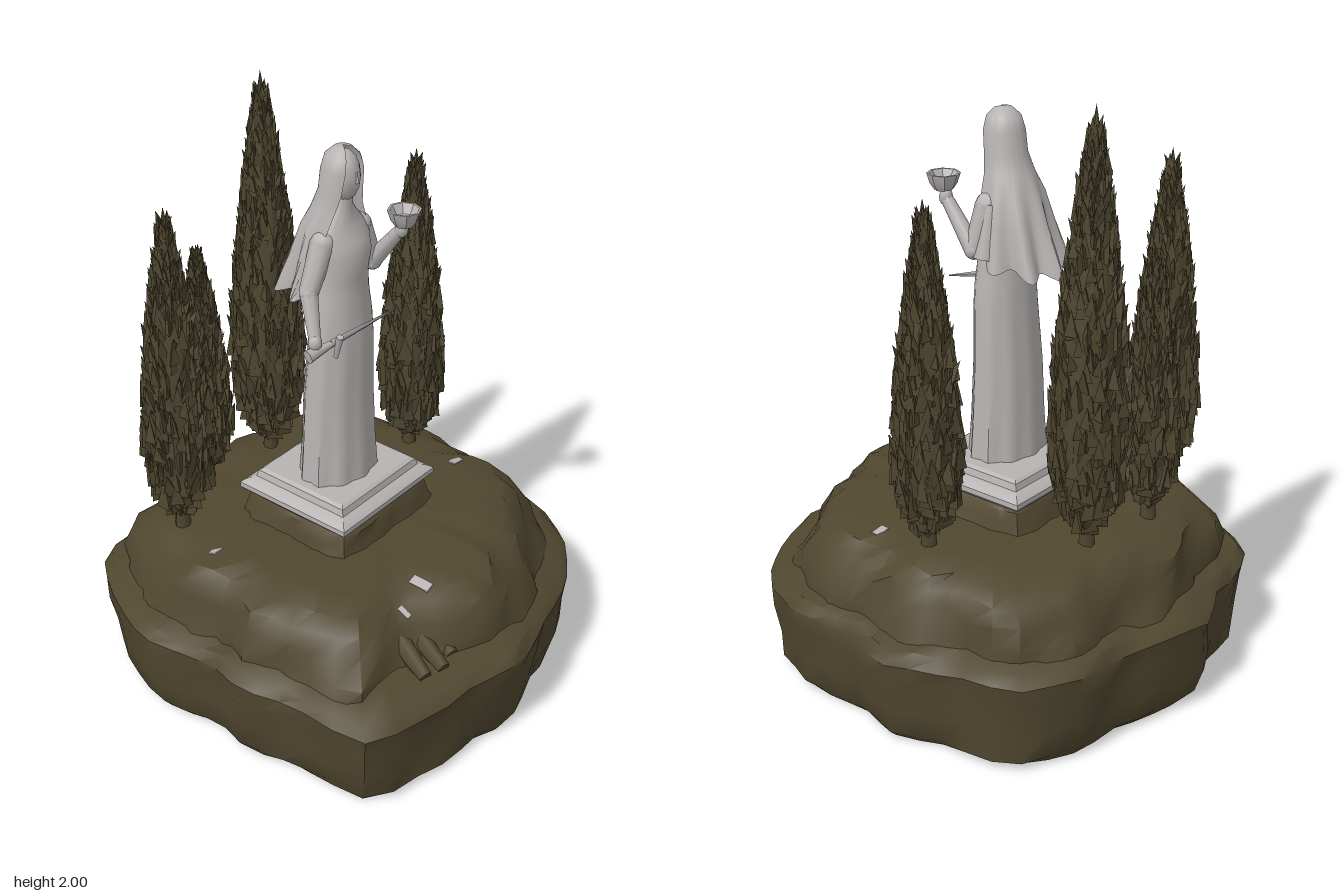
import * as THREE from 'three';
import { mergeGeometries, toCreasedNormals } from 'three/addons/utils/BufferGeometryUtils.js';

const mat = (name, color, side = THREE.FrontSide) => {
  const m = new THREE.MeshStandardMaterial({ color, side });
  m.name = name;
  return m;
};

function seeded(seed) {
  return () => (seed = (seed * 16807) % 2147483647) / 2147483647;
}

// Surface through elliptical rings [y, cx, cz, rx, rz], listed from bottom to top.
// shape(angle, row) returns [radius factor, height offset]; angle 0 is +z.
function loft(rows, segs, shape = () => [1, 0], arc = null, crease = 0.75) {
  const pos = [], idx = [];
  rows.forEach(([y, cx, cz, rx, rz], i) => {
    const [from, to] = arc ? arc(i / (rows.length - 1)) : [-Math.PI, Math.PI];
    for (let j = 0; j <= segs; j++) {
      const k = !arc && j === segs ? 0 : j;
      const a = from + (to - from) * k / segs;
      const [s, dy] = shape(a, i);
      pos.push(cx + rx * s * Math.sin(a), y + dy, cz + rz * s * Math.cos(a));
      if (i && j) {
        const d = i * (segs + 1) + j, c = d - 1, b = d - segs - 1, e = b - 1;
        idx.push(e, b, d, e, d, c);
      }
    }
  });
  const g = new THREE.BufferGeometry();
  g.setAttribute('position', new THREE.Float32BufferAttribute(pos, 3));
  g.setIndex(idx);
  return toCreasedNormals(g, crease);
}

// Tapered round bar between two points
function bar(a, b, ra, rb, sides = 8, flat = 1) {
  const p = new THREE.Vector3(...a), q = new THREE.Vector3(...b);
  const dir = q.clone().sub(p);
  const g = new THREE.CylinderGeometry(rb, ra, dir.length(), sides);
  g.scale(1, 1, flat);
  g.applyQuaternion(new THREE.Quaternion().setFromUnitVectors(new THREE.Vector3(0, 1, 0), dir.clone().normalize()));
  g.translate(...p.add(q).multiplyScalar(0.5).toArray());
  return g;
}

const ball = (x, y, z, rx, ry, rz) => new THREE.SphereGeometry(1, 10, 8).scale(rx, ry, rz).translate(x, y, z);

// Island outline as x, z pairs
const OUTLINE = [
  [-0.09, -0.79], [0.11, -0.75], [0.28, -0.68], [0.39, -0.7], [0.59, -0.59], [0.66, -0.48], [0.67, -0.33],
  [0.75, -0.13], [0.7, 0.06], [0.72, 0.25], [0.7, 0.36], [0.63, 0.5], [0.44, 0.65], [0.17, 0.73], [-0.08, 0.79],
  [-0.2, 0.74], [-0.43, 0.7], [-0.66, 0.64], [-0.68, 0.5], [-0.68, 0.31], [-0.74, 0.17], [-0.69, 0],
  [-0.75, -0.25], [-0.69, -0.42], [-0.55, -0.65], [-0.43, -0.7], [-0.27, -0.71],
].map(([x, z]) => [Math.atan2(x, z), Math.hypot(x, z)]).sort((a, b) => a[0] - b[0]);

function outlineRadius(a) {
  const n = OUTLINE.length;
  let k = OUTLINE.findIndex((p) => p[0] > a);
  if (k < 0) k = n;
  const [a0, r0] = k > 0 ? OUTLINE[k - 1] : [OUTLINE[n - 1][0] - 2 * Math.PI, OUTLINE[n - 1][1]];
  const [a1, r1] = k < n ? OUTLINE[k] : [OUTLINE[0][0] + 2 * Math.PI, OUTLINE[0][1]];
  return r0 + (r1 - r0) * (a - a0) / (a1 - a0);
}

// Smooth and jagged unevenness around a ring
const wobble = (a, i) => Math.sin(5 * a + i * 1.7) * 0.5 + Math.sin(11 * a - i * 2.3) * 0.3 + Math.sin(17 * a + i) * 0.2;
const jag = (a, i) => {
  const v = Math.sin(a * 127.1 + i * 311.7) * 437.585;
  return v - Math.floor(v) - 0.5;
};

export function createModel() {
  const model = new THREE.Group();
  const rock = mat('olive rock', 0x50472f);
  const leaf = mat('dark cypress', 0x4e462f, THREE.DoubleSide);
  const stone = mat('pale stone', 0xb8b3b3);
  const cloth = mat('pale stone cloth', 0xb8b3b3, THREE.DoubleSide);
  const add = (parent, name, geometry, material) => {
    const m = new THREE.Mesh(geometry, material);
    m.name = name;
    parent.add(m);
    return m;
  };
  const ring = ([y, r]) => [y, 0, 0, r, r];

  // Lower and upper rock tiers; the upper one has a hollow at the front
  const island = new THREE.Group();
  island.name = 'island';
  model.add(island);
  const lower = [[0, 0], [0, 0.92], [0.03, 0.955], [0.13, 0.975], [0.24, 0.985], [0.31, 1], [0.343, 0.96], [0.365, 0.84], [0.385, 0.6], [0.39, 0]];
  const foot = add(island, 'lowerRock', loft(lower.map(ring), 54, (a, i) => [
    outlineRadius(a) * (1 + (i > 1 && i < 5 ? 0.012 * wobble(a, i) + 0.03 * jag(a, i) : 0)),
    i > 2 && i < 8 ? 0.008 * wobble(a, 1) + 0.02 * jag(a, i + 9) : 0,
  ]), rock);
  const upper = [[0.32, 0.91], [0.39, 0.885], [0.46, 0.85], [0.51, 0.81], [0.55, 0.745], [0.567, 0.62], [0.57, 0.38], [0.575, 0]];
  const top = add(island, 'upperRock', loft(upper.map(ring), 54, (a, i) => {
    const hollow = Math.exp(-(((a + 0.56) / 0.27) ** 2));
    const slope = Math.exp(-(((a - 0.65) / 0.35) ** 2));
    const edge = i < 6 ? 1 : 0;
    return [
      outlineRadius(a) * (1 + edge * (0.025 * wobble(a, i * 0.6) + 0.045 * jag(a, i) - (0.1 + 0.04 * i) * hollow - 0.02 * i * slope)),
      i > 0 && i < 6 ? 0.006 * wobble(a, i * 0.5) + 0.022 * jag(a, i + 5) - (i === 4 ? 0.025 * hollow : 0) : 0,
    ];
  }), rock);

  // Small boulders fanning out of the hollow
  add(island, 'boulders', mergeGeometries([0, 1, 2, 3].map((k) => {
    const x = -0.34 + 0.07 * k;
    return bar([x + 0.04, 0.43, 0.44], [x - 0.01, 0.36, 0.62 + 0.02 * (k % 2)], 0.04, 0.024, 6);
  })), rock);

  // Pale flat stones lying on the ground
  const ray = new THREE.Raycaster();
  for (const [x, z, w, d] of [[-0.17, 0.46, 0.035, 0.075], [-0.27, 0.47, 0.018, 0.045], [-0.48, -0.16, 0.045, 0.03], [0.46, 0.14, 0.05, 0.03]]) {
    ray.set(new THREE.Vector3(x, 1, z), new THREE.Vector3(0, -1, 0));
    const hit = ray.intersectObjects([top, foot])[0];
    const slab = add(island, 'flatStone', new THREE.BoxGeometry(w, 0.008, d), stone);
    slab.position.copy(hit.point);
    slab.quaternion.setFromUnitVectors(new THREE.Vector3(0, 1, 0), hit.face.normal);
  }

  // Squared rock under the plinth
  const square = (a) => 1 / Math.max(Math.abs(Math.sin(a)), Math.abs(Math.cos(a)));
  const seat = [[0.55, 0.265], [0.6, 0.245], [0.64, 0.235], [0.665, 0.21], [0.665, 0]];
  add(island, 'plinthRock', loft(seat.map(([y, r]) => [y, -0.015, -0.02, r, r * 0.95]), 32,
    (a, i) => [Math.min(square(a), 1.3) * (1 + 0.03 * wobble(a, i) + 0.05 * jag(a, i)), 0]), rock);

  // Statue
  const statue = new THREE.Group();
  statue.name = 'statue';
  model.add(statue);
  const steps = [[0.655, 0], [0.655, 0.235], [0.665, 0.243], [0.683, 0.243], [0.694, 0.23], [0.704, 0.202], [0.727, 0.196], [0.735, 0.183], [0.735, 0]];
  add(statue, 'plinth', loft(steps.map(([y, r]) => [y, -0.015, -0.02, r, r * 0.94]), 40, (a) => [square(a), 0], null, 0.4), stone);

  const robe = [
    [0.73, -0.02, 0, 0, 0], [0.73, -0.02, -0.01, 0.152, 0.112], [0.86, -0.02, -0.01, 0.144, 0.104], [1.05, -0.02, -0.01, 0.136, 0.098],
    [1.25, -0.02, 0, 0.126, 0.09], [1.33, -0.02, 0, 0.12, 0.086], [1.42, -0.02, 0, 0.105, 0.078], [1.48, -0.018, 0, 0.1, 0.076],
    [1.55, -0.015, 0.003, 0.104, 0.083], [1.6, -0.015, -0.002, 0.106, 0.074], [1.64, -0.015, -0.008, 0.095, 0.055],
    [1.68, -0.015, -0.008, 0.062, 0.045], [1.71, -0.015, -0.004, 0.038, 0.038], [1.77, -0.015, 0, 0.036, 0.036],
  ];
  add(statue, 'robe', loft(robe, 40, (a, i) => [1 + Math.max(0, 6 - i) * 0.009 * Math.cos(10 * a), 0]), stone);

  // Head with a plain face
  const head = new THREE.Group();
  head.name = 'head';
  statue.add(head);
  add(head, 'skull', ball(-0.015, 1.808, 0.006, 0.054, 0.086, 0.058), stone);
  add(head, 'nose', bar([-0.015, 1.83, 0.058], [-0.015, 1.795, 0.062], 0.003, 0.008, 4), stone);

  // Veil, open at the front, with a scalloped hem that falls lowest behind
  const veil = [
    [1.4, -0.015, -0.04, 0.142, 0.175], [1.46, -0.015, -0.04, 0.136, 0.15], [1.55, -0.015, -0.035, 0.122, 0.122],
    [1.64, -0.015, -0.03, 0.106, 0.097], [1.7, -0.015, -0.018, 0.084, 0.08], [1.76, -0.015, -0.004, 0.07, 0.07],
    [1.83, -0.015, 0.002, 0.066, 0.068], [1.875, -0.015, 0.004, 0.053, 0.057], [1.9, -0.015, 0.006, 0.028, 0.03], [1.905, -0.015, 0.006, 0, 0],
  ];
  add(statue, 'veil', loft(veil, 36, (a, i) => {
    const fold = Math.cos(9 * (a - Math.PI)), f = Math.max(0, 4 - i) / 4;
    return [1 + 0.16 * f * fold, i === 0 ? 0.035 * (1 + Math.cos(a)) - 0.012 * (1 + fold) : 0];
  }, (t) => {
    const half = 1.75 + 0.68 * Math.min(1, t * 1.4);
    return [Math.PI - half, Math.PI + half];
  }), cloth);

  // Arms: one hanging with a blade, one raised with a bowl
  const arms = [
    ['rightArm', [-0.1, 1.605, -0.005], [-0.17, 1.46, -0.005], [-0.212, 1.32, 0.055]],
    ['leftArm', [0.075, 1.605, -0.005], [0.122, 1.465, 0.015], [0.115, 1.615, 0.135]],
  ];
  for (const [name, shoulder, elbow, hand] of arms) {
    add(statue, name, mergeGeometries([
      bar(shoulder, elbow, 0.042, 0.032), ball(...shoulder, 0.042, 0.042, 0.042), ball(...elbow, 0.032, 0.032, 0.032),
      bar(elbow, hand, 0.031, 0.02), ball(...hand, 0.023, 0.03, 0.022),
    ]), stone);
  }
  add(statue, 'rightSleeve', bar([-0.1, 1.6, -0.025], [-0.12, 1.43, -0.045], 0.035, 0.042, 7), stone);
  add(statue, 'leftSleeve', bar([0.075, 1.61, -0.025], [0.11, 1.44, -0.025], 0.035, 0.045, 7), stone);

  const sword = mergeGeometries([
    bar([-0.248, 1.285, 0.055], [-0.16, 1.3, 0.075], 0.024, 0.012, 6),
    bar([-0.16, 1.3, 0.075], [0.1, 1.345, 0.14], 0.02, 0.002, 4, 0.5),
    bar([-0.165, 1.265, 0.1], [-0.175, 1.35, 0.125], 0.008, 0.013, 5),
  ]);
  add(statue, 'sword', sword, stone);

  const bowl = [[0, 1.635], [0.03, 1.635], [0.044, 1.655], [0.055, 1.69], [0.047, 1.69], [0.03, 1.66], [0, 1.653]];
  add(statue, 'bowl', toCreasedNormals(new THREE.LatheGeometry(bowl.map((p) => new THREE.Vector2(...p)), 8), 0.6), stone)
    .position.set(0.108, 0, 0.15);

  // Cypresses: rough core covered with upward leaf tufts
  const profile = [[0, 0.15], [0.03, 0.48], [0.1, 0.88], [0.2, 1], [0.38, 0.93], [0.56, 0.74], [0.75, 0.45], [0.9, 0.2], [1, 0]];
  const width = (t) => {
    const k = Math.max(1, profile.findIndex((p) => p[0] >= t));
    const [t0, r0] = profile[k - 1], [t1, r1] = profile[k];
    return r0 + (r1 - r0) * (t - t0) / (t1 - t0);
  };
  const trees = [[-0.435, -0.355, 1.745, 0.122], [-0.18, -0.48, 1.48, 0.097], [0.11, -0.44, 2, 0.137], [0.445, -0.06, 1.725, 0.118]];
  trees.forEach(([x, z, peak, radius], n) => {
    const tree = new THREE.Group();
    tree.name = 'cypress' + (n + 1);
    tree.position.set(x, 0, z);
    model.add(tree);
    const rand = seeded(101 + n * 37), base = 0.63, height = peak - base;

    add(tree, 'trunk', mergeGeometries([
      bar([0, 0.55, 0], [0, 0.72, 0], 0.028, 0.018, 7),
      ...[0, 2.1, 4.2].map((a) => bar([0, 0.59, 0], [0.06 * Math.sin(a), 0.69, 0.06 * Math.cos(a)], 0.014, 0.01, 5)),
    ]), leaf);

    const core = profile.map(([t, r]) => [base + t * height, 0, 0, r * radius * 0.86, r * radius * 0.86]);
    add(tree, 'core', loft(core, 14, (a, i) => [1 + 0.06 * wobble(a, i), 0], null, 0.3), leaf);

    const tufts = [], count = Math.round(430 * height);
    for (let i = 0; i < count; i++) {
      const t = 0.01 + 0.93 * (i + rand()) / count, a = i * 2.39996 + rand() * 0.5;
      const size = (0.8 + 0.6 * rand()) * (1 - 0.4 * t);
      const r = width(t) * radius * (0.84 + 0.1 * rand());
      const g = new THREE.ConeGeometry(0.026 * size, 0.085 * size, 3, 1, true);
      g.rotateY(rand() * 6).rotateX(0.05 + 0.4 * rand()).rotateY(a);
      g.translate(r * Math.sin(a), base + t * height + 0.02, r * Math.cos(a));
      tufts.push(g);
    }
    add(tree, 'foliage', toCreasedNormals(mergeGeometries(tufts), 0.3), leaf);
  });

  return model;
}
